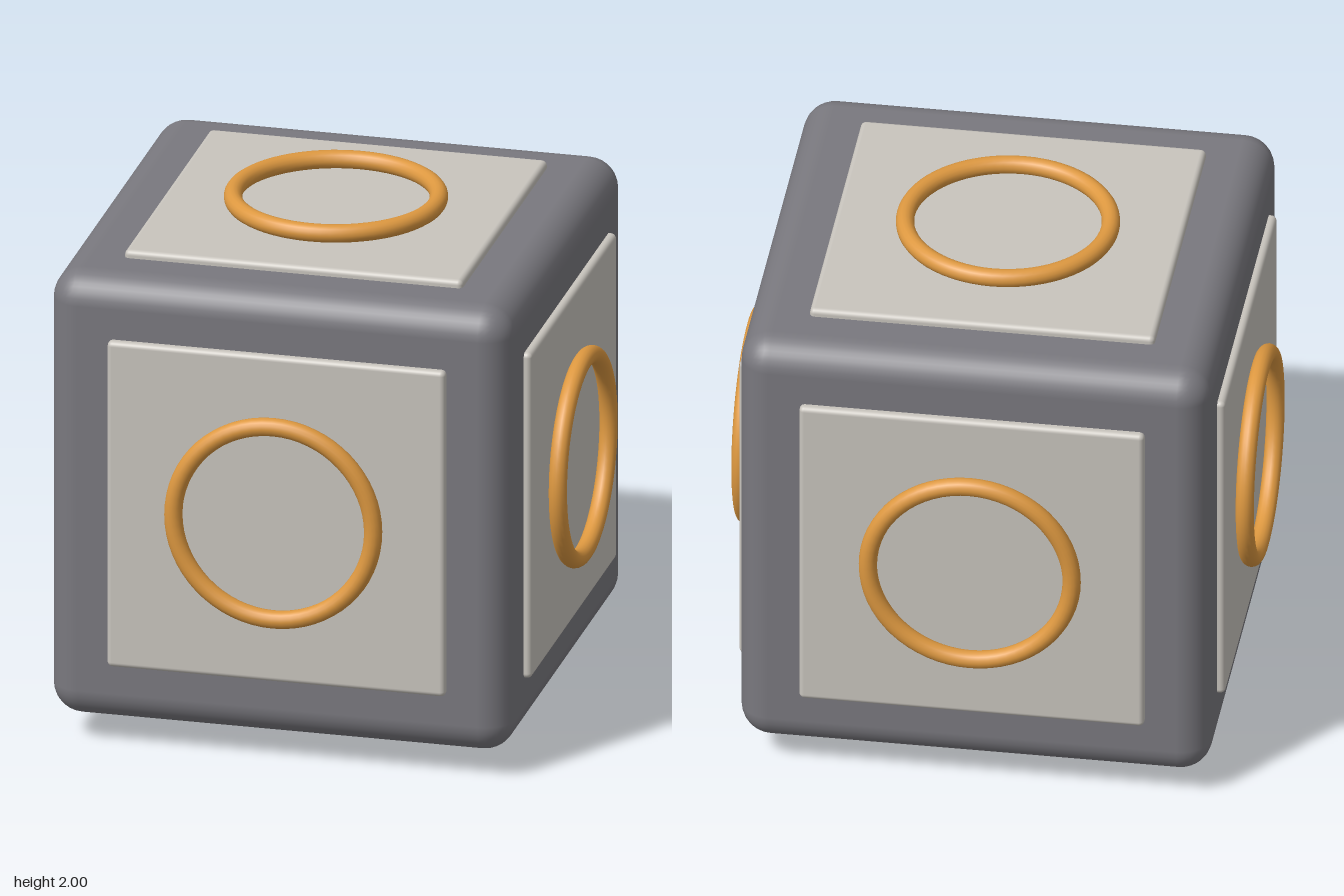
import * as THREE from 'three';
import { RoundedBoxGeometry } from 'three/addons/geometries/RoundedBoxGeometry.js';

export function createModel() {
  const mat = (name, color) => {
    const m = new THREE.MeshStandardMaterial({ color });
    m.name = name;
    return m;
  };
  const grey = mat('dark grey', 0x79787e);
  const stone = mat('pale stone', 0xc8c4bd);
  const amber = mat('amber', 0xdd9840);

  const model = new THREE.Group();
  model.name = 'panelledCube';
  const add = (parent, name, geometry, material, z = 0) => {
    const mesh = new THREE.Mesh(geometry, material);
    mesh.name = name;
    mesh.position.z = z;
    parent.add(mesh);
    return mesh;
  };

  // Rounded cube body
  add(model, 'body', new RoundedBoxGeometry(1.8, 1.8, 1.8, 4, 0.12), grey).position.y = 1;

  // Raised panel and ring, repeated on all six faces
  const panelGeometry = new RoundedBoxGeometry(1.32, 1.32, 0.06, 3, 0.02);
  const ringGeometry = new THREE.TorusGeometry(0.39, 0.035, 16, 64);
  const q = Math.PI / 2;
  const faces = {
    front: [0, 0], left: [0, q], back: [0, 2 * q], right: [0, -q], top: [-q, 0], bottom: [q, 0],
  };
  for (const [name, [rx, ry]] of Object.entries(faces)) {
    const face = new THREE.Group();
    face.name = name + 'Face';
    face.position.y = 1;
    face.rotation.set(rx, ry, 0);
    add(face, name + 'Panel', panelGeometry, stone, 0.9);
    add(face, name + 'Ring', ringGeometry, amber, 0.965);
    model.add(face);
  }
  return model;
}
